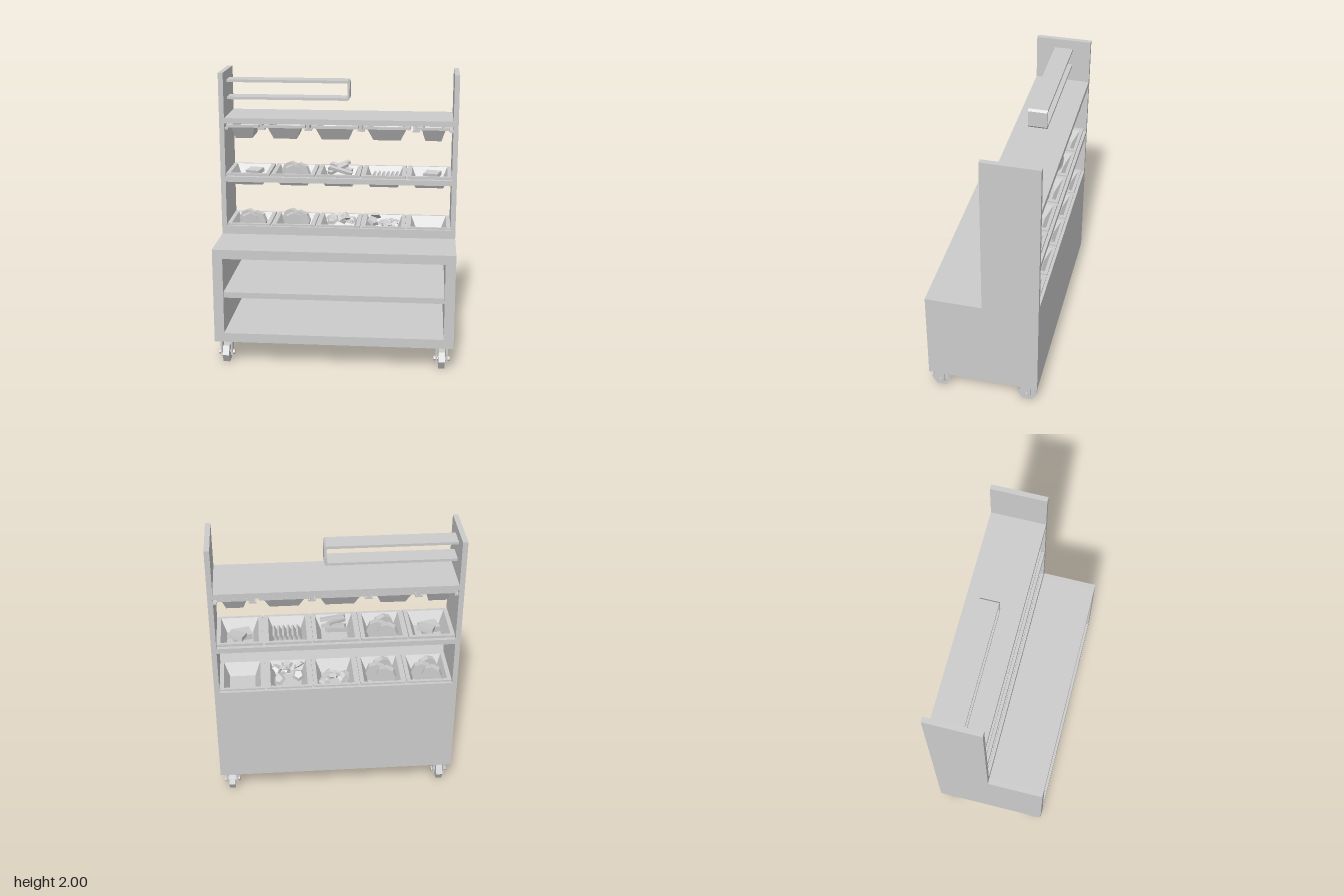
import * as THREE from 'three';

const grey = new THREE.MeshStandardMaterial({ color: 0xcccccc, flatShading: true, side: THREE.DoubleSide });
const BACK = -0.39, STEP = -0.005, FRONT = 0.387, MID = (BACK + STEP) / 2;

function add(parent, name, geometry, x = 0, y = 0, z = 0) {
  const mesh = new THREE.Mesh(geometry, grey);
  mesh.name = name;
  mesh.position.set(x, y, z);
  parent.add(mesh);
  return mesh;
}

// Box given by its limits on each axis
function box(parent, name, x0, x1, y0, y1, z0, z1) {
  return add(parent, name, new THREE.BoxGeometry(x1 - x0, y1 - y0, z1 - z0),
    (x0 + x1) / 2, (y0 + y1) / 2, (z0 + z1) / 2);
}

// Skin through rectangular rings [y, half width, half depth]
function loft(rings) {
  const corners = [[1, 1], [1, -1], [-1, -1], [-1, 1]];
  const at = (r, j) => [r[1] * corners[j % 4][0], r[0], r[2] * corners[j % 4][1]];
  const pos = [];
  for (let i = 0; i < rings.length - 1; i++) {
    for (let j = 0; j < 4; j++) {
      const a = at(rings[i], j), b = at(rings[i], j + 1);
      const c = at(rings[i + 1], j + 1), d = at(rings[i + 1], j);
      pos.push(...a, ...b, ...c, ...a, ...c, ...d);
    }
  }
  const g = new THREE.BufferGeometry();
  g.setAttribute('position', new THREE.Float32BufferAttribute(pos, 3));
  g.computeVertexNormals();
  return g;
}

// Tapered open pan with a flat rim; y = 0 is the rim top
function panGeometry(top, bottom, rim, depth) {
  const t = 0.008, zTop = 0.158, zBottom = 0.11, zRim = 0.172, lip = -0.018;
  return loft([
    [-depth, 0, 0], [-depth, bottom, zBottom], [lip, top, zTop], [lip, rim, zRim], [0, rim, zRim],
    [0, top - t, zTop - t], [-depth + t, bottom - t, zBottom - t], [-depth + t, 0, 0],
  ]);
}

// Flat deck with five rectangular cut-outs for the pans
function deckGeometry(thickness) {
  const rect = (p, x, w, d) => p.moveTo(x - w, -d).lineTo(x + w, -d).lineTo(x + w, d).lineTo(x - w, d).closePath();
  const shape = rect(new THREE.Shape(), 0, 0.8, (STEP - BACK) / 2);
  for (let i = -2; i <= 2; i++) shape.holes.push(rect(new THREE.Path(), i * 0.322, 0.142, 0.16));
  return new THREE.ExtrudeGeometry(shape, { depth: thickness, bevelEnabled: false }).rotateX(-Math.PI / 2);
}

// Food fillings, all relative to the rim of their pan
function discs(g, height) {
  for (const [x, z, turn, r] of [[-0.035, -0.06, 0.3, 0.07], [0.03, -0.015, 0.15, 0.075], [-0.015, 0.05, -0.25, 0.07]]) {
    const disc = add(g, 'roundSlice', new THREE.CylinderGeometry(r, r, 0.045, 8), x, height - r, z);
    disc.rotation.set(Math.PI / 2, turn, turn * 2, 'YXZ');
  }
}
function shards(g, height, seed) {
  const random = () => (seed = (seed * 16807) % 2147483647) / 2147483647;
  for (let i = 0; i < 9; i++) {
    const piece = add(g, 'choppedPiece', new THREE.CylinderGeometry(0.03, 0.045, 0.022, 5),
      (random() - 0.5) * 0.15, height - 0.035 - random() * 0.045, (random() - 0.5) * 0.18);
    piece.rotation.set(random() * 1.4 - 0.7, random() * 6, random() * 1.4 - 0.7);
  }
}
function sticks(g, height) {
  [-0.07, -0.02, 0.03, 0.08].forEach((z, i) => {
    const s = add(g, 'stick', new THREE.BoxGeometry(0.17, 0.022, 0.035), (i % 2) * 0.02 - 0.01, height - 0.025, z);
    s.rotation.set(0.2, [0.5, -0.4, 0.8, -0.2][i], [0.2, -0.15, 0.1, -0.2][i]);
  });
}
function slices(g) {
  for (let i = 0; i < 6; i++) {
    const s = add(g, 'thinSlice', new THREE.BoxGeometry(0.014, 0.06, 0.13), -0.08 + i * 0.032, -0.045, 0);
    s.rotation.z = -0.5;
  }
}
function blocks(g) {
  add(g, 'block', new THREE.BoxGeometry(0.13, 0.04, 0.1), -0.01, -0.055, 0.03).rotation.y = 0.25;
  add(g, 'block', new THREE.BoxGeometry(0.11, 0.03, 0.08), 0.02, -0.025, -0.03).rotation.set(0.15, -0.4, 0.1);
}

function panRow(root, name, y, fillings) {
  fillings.forEach((fill, i) => {
    const g = new THREE.Group();
    g.name = name;
    g.position.set((i - 2) * 0.322, y, MID);
    add(g, 'pan', panGeometry(0.135, 0.097, 0.155, 0.095));
    if (fill) fill(g);
    root.add(g);
  });
}

function caster(x, z) {
  const g = new THREE.Group();
  g.name = 'caster';
  g.position.set(x, 0, z);
  const hex = (r, w) => new THREE.CylinderGeometry(r, r, w, 6).rotateZ(Math.PI / 2);
  add(g, 'wheel', hex(0.07, 0.045), 0, 0.062, 0);
  add(g, 'axle', hex(0.018, 0.11), 0, 0.064, 0);
  for (const s of [-1, 1]) add(g, 'forkSide', new THREE.BoxGeometry(0.013, 0.12, 0.055), s * 0.036, 0.107, 0);
  add(g, 'forkTop', new THREE.BoxGeometry(0.085, 0.02, 0.055), 0, 0.157, 0);
  return g;
}

export function createModel() {
  const root = new THREE.Group();
  root.name = 'servingCart';

  // Stepped side panels
  const side = new THREE.Shape([[BACK, 0.165], [FRONT, 0.165], [FRONT, 0.84], [STEP, 0.84], [STEP, 2], [BACK, 2]]
    .map(p => new THREE.Vector2(...p)));
  const sideGeo = new THREE.ExtrudeGeometry(side, { depth: 0.035, bevelEnabled: false }).rotateY(-Math.PI / 2);
  for (const x of [0.835, -0.8]) add(root, 'sidePanel', sideGeo, x);

  // Open-fronted cabinet
  box(root, 'cabinetFloor', -0.8, 0.8, 0.165, 0.23, BACK, FRONT);
  box(root, 'counter', -0.8, 0.8, 0.775, 0.84, STEP - 0.03, FRONT);
  box(root, 'cabinetCeiling', -0.765, 0.765, 0.775, 0.785, BACK + 0.03, STEP - 0.03);
  box(root, 'backPanel', -0.8, 0.8, 0.23, 0.9, BACK, BACK + 0.03);
  box(root, 'innerShelf', -0.765, 0.765, 0.49, 0.53, BACK + 0.03, FRONT - 0.01);
  box(root, 'upstand', -0.8, 0.8, 0.84, 0.9, STEP - 0.03, STEP);
  for (const s of [-1, 1]) box(root, 'innerSide', s * 0.7825 - 0.0175, s * 0.7825 + 0.0175, 0.23, 0.775, BACK + 0.03, FRONT);

  // Decks, pans and fillings
  add(root, 'lowerDeck', deckGeometry(0.02), 0, 0.878, MID);
  panRow(root, 'lowerPan', 0.912, [g => discs(g, 0.047), g => discs(g, 0.058), g => shards(g, 0.045, 77),
    g => shards(g, 0.055, 913), null]);
  add(root, 'middleDeck', deckGeometry(0.037), 0, 1.225, MID);
  panRow(root, 'middlePan', 1.283, [blocks, g => discs(g, 0.043), g => sticks(g, 0.04), slices, blocks]);

  // Top shelf with pans hung between T-shaped runners
  box(root, 'topShelf', -0.8, 0.8, 1.645, 1.683, BACK, STEP);
  for (const [x, top, bottom, rim] of [[-0.675, 0.082, 0.06, 0.115], [-0.38, 0.117, 0.082, 0.148],
    [-0.025, 0.134, 0.095, 0.165], [0.34, 0.136, 0.095, 0.165], [0.665, 0.082, 0.056, 0.11]]) {
    add(root, 'hangingPan', panGeometry(top, bottom, rim, 0.105), x, 1.632, MID);
  }
  for (const x of [-0.54, -0.21, 0.16, 0.545]) {
    box(root, 'runnerStem', x - 0.012, x + 0.012, 1.605, 1.645, BACK + 0.01, STEP - 0.01);
    box(root, 'runnerFoot', x - 0.025, x + 0.025, 1.6, 1.612, BACK + 0.01, STEP - 0.01);
  }
  for (const s of [-1, 1]) box(root, 'endRunner', s * 0.788 - 0.012, s * 0.788 + 0.012, 1.6, 1.612, BACK + 0.01, STEP - 0.01);

  // Flat looped rail fixed to one side panel
  const outline = [[-0.8, 1.795], [0.06, 1.795], [0.073, 1.81], [0.073, 1.92], [0.06, 1.935], [-0.8, 1.935],
    [-0.8, 1.917], [0.052, 1.917], [0.057, 1.91], [0.057, 1.82], [0.052, 1.813], [-0.8, 1.813]];
  add(root, 'loopRail', new THREE.ExtrudeGeometry(new THREE.Shape(outline.map(p => new THREE.Vector2(...p))),
    { depth: 0.13, bevelEnabled: false }), 0, 0, -0.265);

  for (const x of [-0.76, 0.755]) for (const z of [-0.308, 0.316]) root.add(caster(x, z));
  return root;
}
